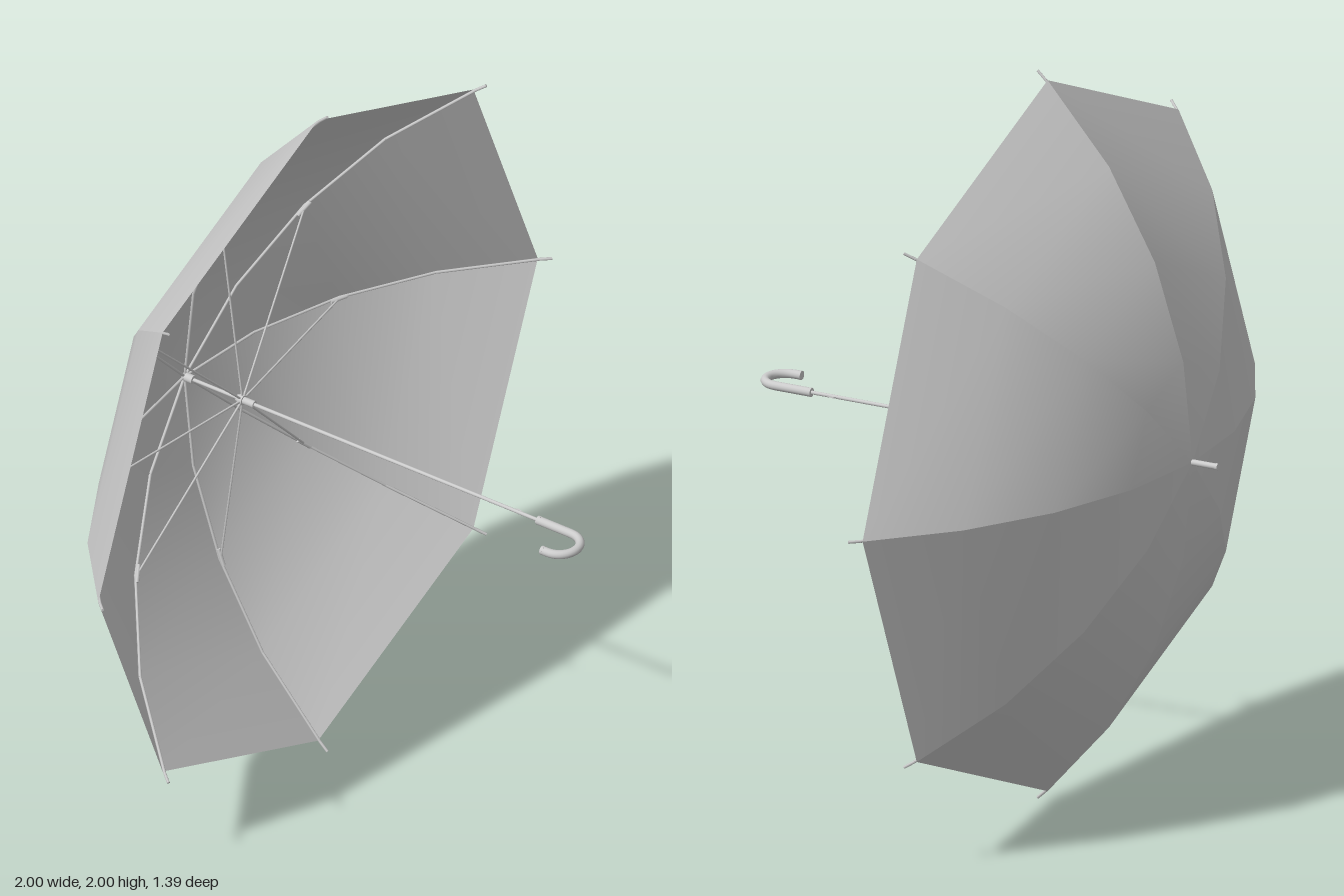
import * as THREE from 'three';

const material = new THREE.MeshStandardMaterial({ color: 0xcccccc });
const cloth = new THREE.MeshStandardMaterial({ color: 0xcccccc, side: THREE.DoubleSide });
const PANELS = 8;
const STEP = (Math.PI * 2) / PANELS;

// Canopy profile along a rib: [radius, z]
const PROFILE = [[0, -0.62], [0.27, -0.592], [0.53, -0.507], [0.77, -0.37], [0.976, -0.187]];

const polar = (r, angle, z) => new THREE.Vector3(r * Math.cos(angle), r * Math.sin(angle), z);

function add(parent, name, geometry, mat = material) {
  const mesh = new THREE.Mesh(geometry, mat);
  mesh.name = name;
  parent.add(mesh);
  return mesh;
}

// Straight rod between two points
function rod(parent, name, a, b, radius, sides = 6) {
  const dir = b.clone().sub(a);
  const mesh = add(parent, name, new THREE.CylinderGeometry(radius, radius, dir.length(), sides));
  mesh.position.copy(a).add(b).multiplyScalar(0.5);
  mesh.quaternion.setFromUnitVectors(new THREE.Vector3(0, 1, 0), dir.normalize());
  return mesh;
}

// One cloth gore between two ribs, smooth along its length, creased at the ribs
function panelGeometry(a0, a1) {
  const positions = [];
  const index = [];
  PROFILE.forEach(([r, z], i) => {
    positions.push(...polar(r, a0, z).toArray(), ...polar(r, a1, z).toArray());
    if (i === 0) return;
    const k = i * 2;
    if (i > 1) index.push(k - 2, k - 1, k);
    index.push(k - 1, k + 1, k);
  });
  const geometry = new THREE.BufferGeometry();
  geometry.setAttribute('position', new THREE.Float32BufferAttribute(positions, 3));
  geometry.setIndex(index);
  geometry.computeVertexNormals();
  // The two coincident apex corners share one normal
  const n = geometry.attributes.normal;
  n.setXYZ(0, n.getX(1), n.getY(1), n.getZ(1));
  return geometry;
}

export function createModel() {
  const model = new THREE.Group();
  model.name = 'umbrella';
  const axis = (z) => new THREE.Vector3(0, 0, z);

  // Canopy
  const canopy = new THREE.Group();
  canopy.name = 'canopy';
  model.add(canopy);
  for (let i = 0; i < PANELS; i++) {
    add(canopy, 'canopyPanel', panelGeometry(i * STEP, (i + 1) * STEP), cloth);
  }

  // Ribs with projecting tips, and stretchers back to the runner
  const frame = new THREE.Group();
  frame.name = 'frame';
  model.add(frame);
  for (let i = 0; i < PANELS; i++) {
    const a = i * STEP;
    const points = PROFILE.map(([r, z]) => polar(r, a, z + 0.006));
    points.push(polar(0.998, a, -0.157));
    for (let k = 1; k < points.length; k++) {
      rod(frame, k === points.length - 1 ? 'ribTip' : 'rib', points[k - 1], points[k], 0.004);
    }
    rod(frame, 'stretcher', polar(0.01, a, -0.43), polar(0.525, a, -0.498), 0.003);
    rod(frame, 'ribJoint', polar(0.5, a, -0.506), polar(0.545, a, -0.489), 0.006);
  }

  // Shaft, hub, runner and ferrule
  rod(model, 'shaft', axis(-0.62), axis(0.54), 0.005, 12);
  rod(model, 'hub', axis(-0.612), axis(-0.585), 0.012, 16);
  rod(model, 'runner', axis(-0.445), axis(-0.39), 0.01, 16);
  rod(model, 'runnerCollar', axis(-0.438), axis(-0.424), 0.014, 16);
  rod(model, 'ferrule', axis(-0.695), axis(-0.612), 0.008, 16);
  rod(model, 'ferruleCap', axis(-0.696), axis(-0.688), 0.009, 16);

  // Spring catch on the shaft
  const catchShape = new THREE.Shape();
  catchShape.moveTo(0.003, 0.44);
  catchShape.lineTo(0.011, 0.446);
  catchShape.lineTo(0.003, 0.475);
  const springCatch = add(model, 'springCatch',
    new THREE.ExtrudeGeometry(catchShape, { depth: 0.004, bevelEnabled: false }));
  springCatch.rotation.x = Math.PI / 2;
  springCatch.position.y = 0.002;

  // Hooked handle
  const R = 0.053;
  const bendZ = 0.625;
  const path = new THREE.CurvePath();
  path.add(new THREE.LineCurve3(axis(0.52), axis(bendZ)));
  const arc = [];
  for (let i = 0; i <= 12; i++) {
    const t = (i / 12) * Math.PI;
    arc.push(new THREE.Vector3(-R + R * Math.cos(t), 0, bendZ + R * Math.sin(t)));
  }
  path.add(new THREE.CatmullRomCurve3(arc));
  const end = new THREE.Vector3(-2 * R, 0, 0.61);
  path.add(new THREE.LineCurve3(arc[12], end));
  add(model, 'handle', new THREE.TubeGeometry(path, 48, 0.012, 14));
  rod(model, 'handleCollar', axis(0.517), axis(0.526), 0.0122, 14);
  rod(model, 'handleEnd', end.clone().add(axis(-0.004)), end.clone().add(axis(0.004)), 0.0122, 14);

  model.position.y = 1;
  const root = new THREE.Group();
  root.name = 'umbrellaRoot';
  root.add(model);
  return root;
}
